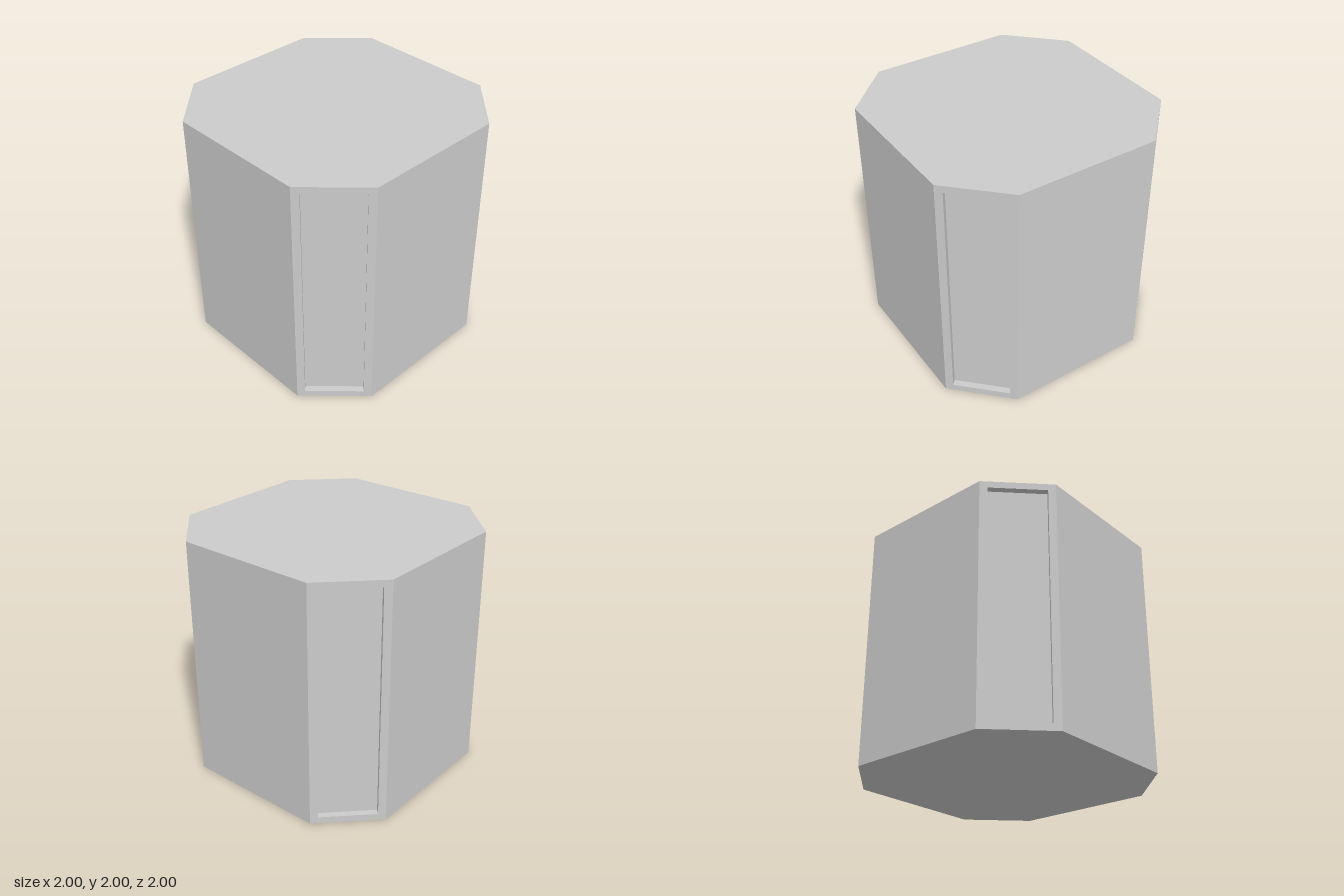
import * as THREE from 'three';

const H = 2;            // height
const S = 0.588;        // half width of the broad sides
const CORNER_W = (1 - S) * Math.SQRT2;   // width of a cut corner
const CORNER_D = (1 + S) / Math.SQRT2;   // its distance from the axis
const OPEN_W = 0.46, OPEN_H = 1.89;      // recess opening
const DEPTH = 0.052;                     // recess depth

const material = new THREE.MeshStandardMaterial({ color: 0xcccccc, flatShading: true });

function add(parent, name, geometry) {
  const mesh = new THREE.Mesh(geometry, material);
  mesh.name = name;
  parent.add(mesh);
  return mesh;
}

function rectangle(target, w, h) {
  return target.setFromPoints([[-1, -1], [1, -1], [1, 1], [-1, 1]]
    .map(([x, y]) => new THREE.Vector2(x * w / 2, y * h / 2)));
}

// Cut corner: a frame around a shallow rectangular recess
function cornerPanel() {
  const panel = new THREE.Group();
  panel.name = 'cornerPanel';

  const frame = rectangle(new THREE.Shape(), CORNER_W, H);
  frame.holes.push(rectangle(new THREE.Path(), OPEN_W, OPEN_H));
  add(panel, 'cornerFrame', new THREE.ShapeGeometry(frame)).position.set(0, H / 2, CORNER_D);

  add(panel, 'recessBack', new THREE.PlaneGeometry(OPEN_W, OPEN_H))
    .position.set(0, H / 2, CORNER_D - DEPTH);

  // Recess walls face the middle of the opening
  for (const s of [-1, 1]) {
    const side = add(panel, 'recessSide', new THREE.PlaneGeometry(DEPTH, OPEN_H));
    side.position.set(s * OPEN_W / 2, H / 2, CORNER_D - DEPTH / 2);
    side.rotation.y = -s * Math.PI / 2;

    const end = add(panel, 'recessEnd', new THREE.PlaneGeometry(OPEN_W, DEPTH));
    end.position.set(0, H / 2 + s * OPEN_H / 2, CORNER_D - DEPTH / 2);
    end.rotation.x = s * Math.PI / 2;
  }
  return panel;
}

export function createModel() {
  const model = new THREE.Group();
  model.name = 'octagonalBlock';

  // Top and bottom
  const octagon = new THREE.Shape([
    [S, -1], [1, -S], [1, S], [S, 1], [-S, 1], [-1, S], [-1, -S], [-S, -1],
  ].map(([x, y]) => new THREE.Vector2(x, y)));
  add(model, 'top', new THREE.ShapeGeometry(octagon).rotateX(-Math.PI / 2)).position.y = H;
  add(model, 'bottom', new THREE.ShapeGeometry(octagon).rotateX(Math.PI / 2));

  // Broad sides and recessed corners, alternating around the axis
  for (let i = 0; i < 4; i++) {
    const angle = i * Math.PI / 2;
    add(model, 'broadSide', new THREE.PlaneGeometry(2 * S, H).translate(0, H / 2, 1)).rotation.y = angle;

    const panel = cornerPanel();
    panel.rotation.y = angle + Math.PI / 4;
    model.add(panel);
  }
  return model;
}
